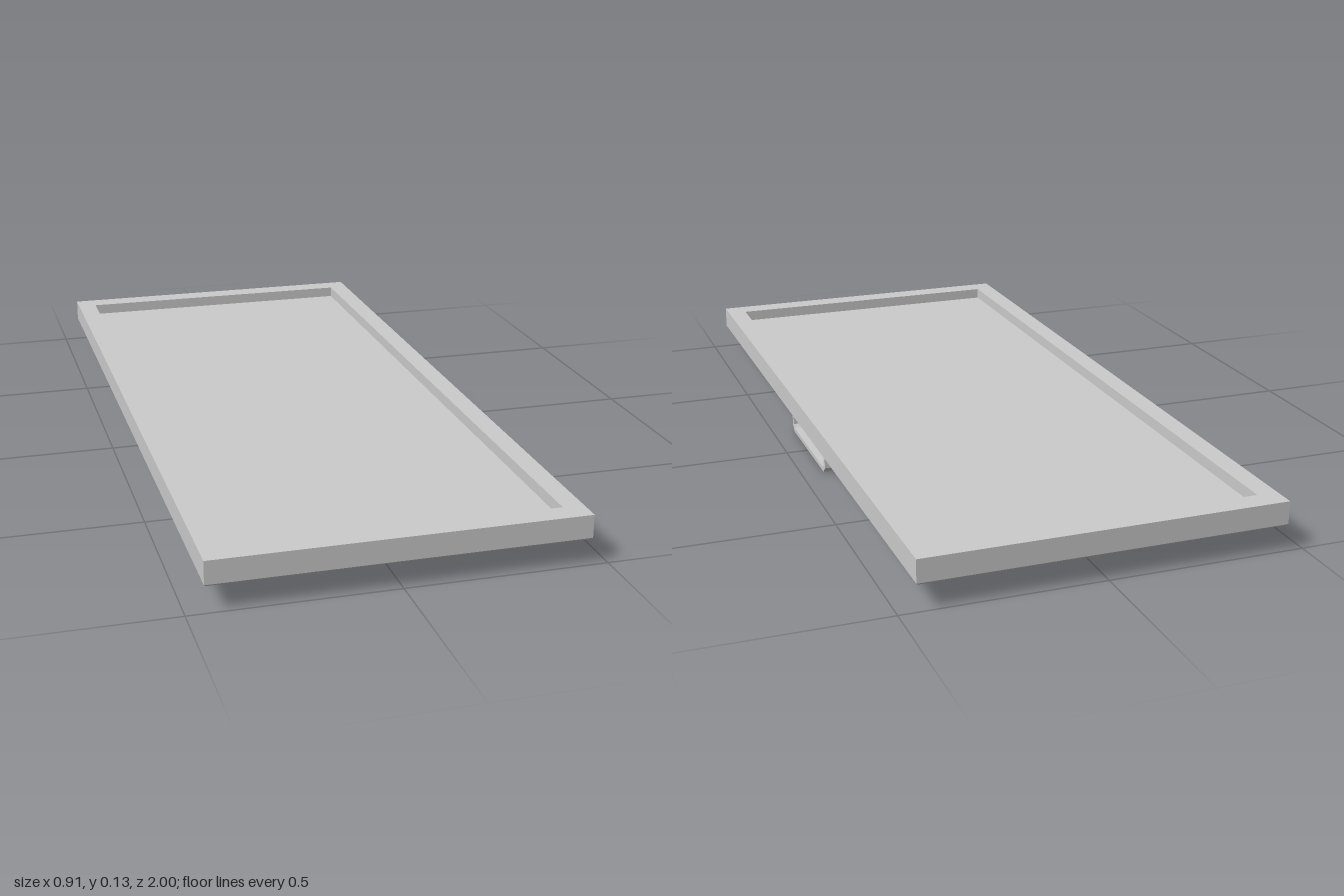
import * as THREE from 'three';

const material = new THREE.MeshStandardMaterial({ color: 0xcccccc, flatShading: true });

// Closed rectangular ring swept through a profile of [halfX, halfZ, y] points
function rectangularRing(profile) {
  const signs = [[1, 1], [1, -1], [-1, -1], [-1, 1]];
  const corner = ([hx, hz, y], k) => [signs[k % 4][0] * hx, y, signs[k % 4][1] * hz];
  const positions = [];
  profile.forEach((p, i) => {
    const q = profile[(i + 1) % profile.length];
    for (let k = 0; k < 4; k++) {
      const a = corner(p, k), b = corner(p, k + 1), c = corner(q, k + 1), d = corner(q, k);
      positions.push(...a, ...b, ...c, ...a, ...c, ...d);
    }
  });
  const geometry = new THREE.BufferGeometry();
  geometry.setAttribute('position', new THREE.Float32BufferAttribute(positions, 3));
  geometry.computeVertexNormals();
  return geometry;
}

export function createModel() {
  const model = new THREE.Group();
  model.name = 'cabinetDoor';
  const add = (name, geometry) => {
    const mesh = new THREE.Mesh(geometry, material);
    mesh.name = name;
    model.add(mesh);
    return mesh;
  };

  // Frame with a small chamfer around its lower outer edge
  add('frame', rectangularRing([
    [0.452, 0.995, 0.064],
    [0.457, 1, 0.069],
    [0.457, 1, 0.127],
    [0.404, 0.942, 0.127],
    [0.404, 0.942, 0.064],
  ]));

  // Thin panel recessed from both faces
  const panel = add('panel', new THREE.BoxGeometry(0.812, 0.012, 1.888));
  panel.position.y = 0.091;

  // U-shaped pull handle with cut corners
  const outline = new THREE.Shape([
    [-0.174, 0.066], [-0.174, 0.016], [-0.158, 0], [0.158, 0], [0.174, 0.016], [0.174, 0.066],
    [0.162, 0.066], [0.162, 0.021], [0.153, 0.012], [-0.153, 0.012], [-0.162, 0.021], [-0.162, 0.066],
  ].map(([x, y]) => new THREE.Vector2(x, y)));
  const handle = add('handle', new THREE.ExtrudeGeometry(outline, { depth: 0.03, bevelEnabled: false }));
  handle.rotation.y = Math.PI / 2;
  handle.position.set(0.411, 0, -0.006);

  return model;
}
